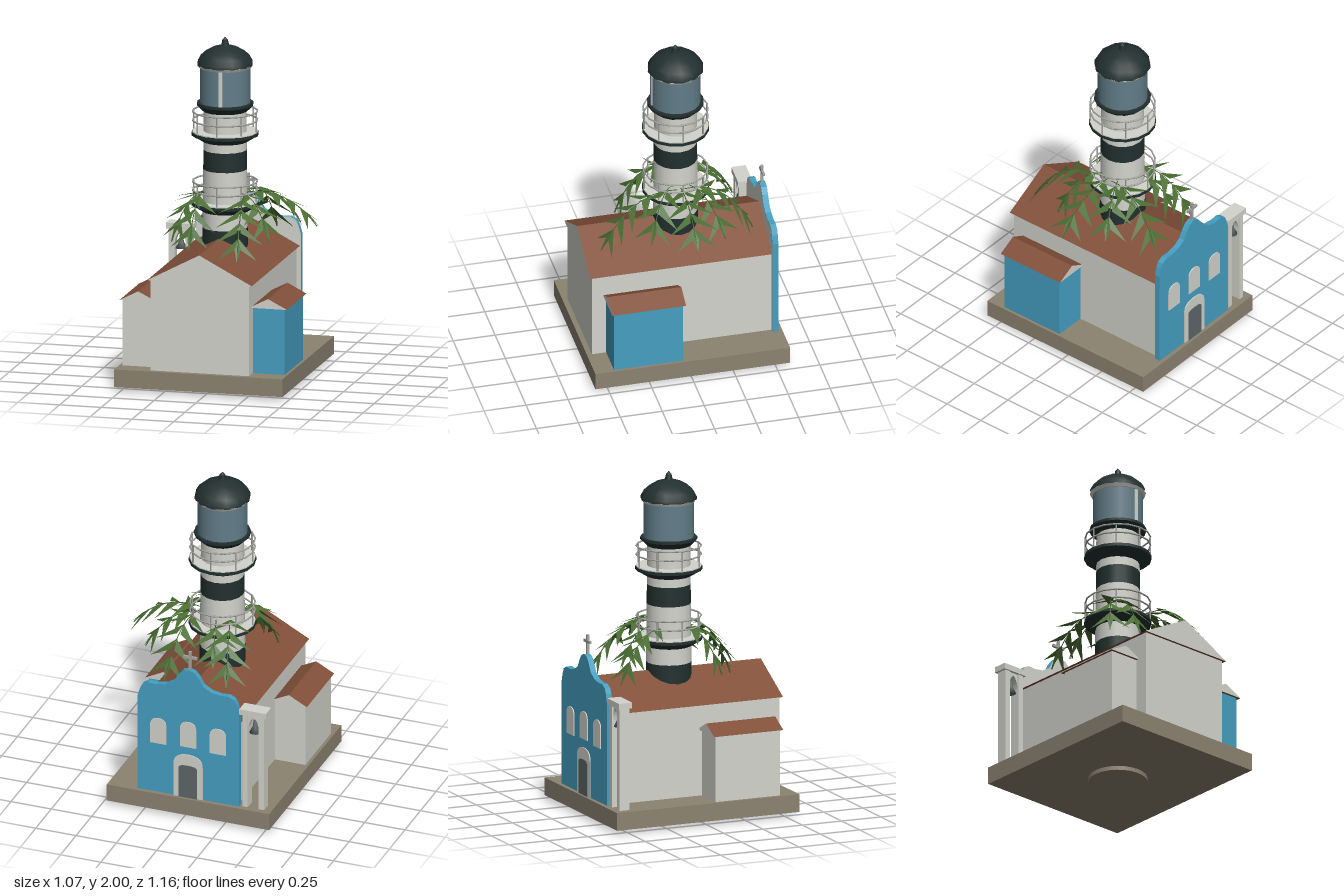
import * as THREE from 'three';

const mat = (name, color, side = THREE.FrontSide) => {
  const m = new THREE.MeshStandardMaterial({ color, side });
  m.name = name;
  return m;
};

export function createModel() {
  const root = new THREE.Group();
  root.name = 'chapelLighthouse';
  const white = mat('whitewash', 0xd4d4ce), blue = mat('blue paint', 0x459fc1);
  const stone = mat('stone', 0x8c8371), tile = mat('roof tile', 0x82503a);
  const dark = mat('dark green black', 0x22302f), glass = mat('lantern glass', 0x627d89);
  const rail = mat('grey metal', 0xa5a5a2), slate = mat('slate grey', 0x5f6769);
  const leaf = mat('leaf green', 0x4a6e33, THREE.DoubleSide);

  const add = (name, geo, m, x = 0, y = 0, z = 0, parent = root) => {
    const mesh = new THREE.Mesh(geo, m);
    mesh.name = name;
    mesh.position.set(x, y, z);
    parent.add(mesh);
    return mesh;
  };
  // Box given by its limits
  const box = (name, m, x0, x1, y0, y1, z0, z1) =>
    add(name, new THREE.BoxGeometry(x1 - x0, y1 - y0, z1 - z0), m, (x0 + x1) / 2, (y0 + y1) / 2, (z0 + z1) / 2);
  const poly = (pts) => new THREE.Shape(pts.map(([x, y]) => new THREE.Vector2(x, y)));
  const extrude = (shape, depth) => new THREE.ExtrudeGeometry(shape, { depth, bevelEnabled: false, curveSegments: 8 });
  // Gabled roof with white ends
  const gable = (name, x0, x1, ridge, y0, y1, z0, z1) =>
    add(name, extrude(poly([[x0, y0], [x1, y0], [ridge, y1]]), z1 - z0), [white, tile], 0, 0, z0);

  // Base
  const TX = -0.03, TZ = -0.02;
  box('baseSlab', stone, -0.535, 0.472, 0.025, 0.13, -0.58, 0.58);
  add('baseFoot', new THREE.CylinderGeometry(0.172, 0.172, 0.03, 24), stone, TX, 0.015, TZ);

  // Chapel and its two annexes
  box('nave', white, -0.325, 0.265, 0.13, 0.668, -0.53, 0.55);
  gable('naveRoof', -0.342, 0.285, -0.03, 0.668, 0.833, -0.52, 0.565);
  box('blueAnnex', blue, 0.25, 0.455, 0.13, 0.52, 0.055, 0.465);
  gable('blueAnnexRoof', 0.245, 0.473, 0.36, 0.52, 0.578, 0.04, 0.48);
  box('whiteAnnex', white, -0.515, -0.3, 0.13, 0.52, 0.055, 0.465);
  gable('whiteAnnexRoof', -0.53, -0.3, -0.418, 0.52, 0.578, 0.04, 0.48);

  // Curved facade at the back
  const half = [[0.314, 0.13], [0.314, 0.74], [0.3, 0.79], [0.285, 0.82], [0.25, 0.838], [0.2, 0.835],
    [0.14, 0.845], [0.09, 0.875], [0.065, 0.92], [0.035, 0.955], [0, 0.965]];
  const outline = [...half, ...half.slice(0, -1).reverse().map(([x, y]) => [-x, y])];
  const facadeShape = poly(outline);
  add('facade', extrude(facadeShape, 0.035), blue, -0.024, 0, -0.555);
  add('facadeInnerFace', new THREE.ShapeGeometry(facadeShape), white, -0.024, 0, -0.519);

  const arched = (w, h, rise) => {
    const s = new THREE.Shape();
    s.moveTo(-w / 2, 0);
    s.lineTo(w / 2, 0);
    s.lineTo(w / 2, h - rise);
    s.quadraticCurveTo(w / 2, h, 0, h);
    s.quadraticCurveTo(-w / 2, h, -w / 2, h - rise);
    return s;
  };
  for (const [dx, y] of [[-0.185, 0.45], [0, 0.46], [0.185, 0.45]])
    add('facadeWindow', extrude(arched(0.1, 0.165, 0.05), 0.006), white, -0.024 + dx, y, -0.561);
  add('doorSurround', extrude(arched(0.18, 0.28, 0.07), 0.006), white, -0.024, 0.13, -0.561);
  add('door', extrude(arched(0.115, 0.21, 0.02), 0.004), slate, -0.024, 0.13, -0.565);

  // Cross
  box('crossPost', rail, -0.037, -0.021, 0.955, 1.08, -0.543, -0.529);
  box('crossArm', rail, -0.071, 0.013, 1.032, 1.048, -0.543, -0.529);

  // Bell tower
  for (const x of [-0.474, -0.372])
    box('bellPillar', white, x - 0.017, x + 0.017, 0.13, 0.74, -0.545, -0.48);
  const arch = new THREE.Shape();
  arch.moveTo(-0.036, 0.63);
  arch.quadraticCurveTo(-0.03, 0.7, 0, 0.72);
  arch.quadraticCurveTo(0.03, 0.7, 0.036, 0.63);
  arch.lineTo(0.036, 0.74);
  arch.lineTo(-0.036, 0.74);
  add('bellArch', extrude(arch, 0.05), white, -0.423, 0, -0.537);
  box('bellCap', white, -0.505, -0.34, 0.735, 0.77, -0.555, -0.47);
  const bell = [[0, 0.7], [0.01, 0.69], [0.016, 0.65], [0.034, 0.615], [0, 0.612]];
  add('bell', new THREE.LatheGeometry(bell.reverse().map(([x, y]) => new THREE.Vector2(x, y)), 12), slate, -0.423, 0, -0.513);

  // Lighthouse tower: stacked frustums
  const tower = new THREE.Group();
  tower.name = 'lighthouse';
  tower.position.set(TX, 0, TZ);
  root.add(tower);
  const ring = (name, m, y0, r0, y1, r1, seg = 16) =>
    add(name, new THREE.CylinderGeometry(r1, r0, y1 - y0, seg), m, 0, (y0 + y1) / 2, 0, tower);
  const bands = [[0.6, 0.136, dark], [0.875, 0.132, white], [0.98, 0.131, dark], [1.03, 0.13, white],
    [1.22, 0.128, dark], [1.335, 0.127, white], [1.57, 0.125, null]];
  for (let i = 0; i < bands.length - 1; i++)
    ring('towerBand', bands[i][2], bands[i][0], bands[i][1], bands[i + 1][0], bands[i + 1][1]);

  // Two galleries with railings
  for (const y of [1.025, 1.44]) {
    ring('galleryCorbel', dark, y - 0.055, 0.132, y - 0.018, 0.192);
    ring('galleryDeck', dark, y - 0.018, 0.196, y, 0.196);
    ring('galleryFloor', white, y, 0.192, y + 0.006, 0.192);
    for (const h of [0.07, 0.122]) {
      const hoop = add('handrail', new THREE.TorusGeometry(0.189, 0.005, 6, 16), rail, 0, y + h, 0, tower);
      hoop.rotation.x = Math.PI / 2;
    }
    for (let i = 0; i < 8; i++) {
      const a = (i * Math.PI) / 4;
      add('railPost', new THREE.CylinderGeometry(0.005, 0.005, 0.122, 6), rail,
        0.187 * Math.sin(a), y + 0.061, 0.187 * Math.cos(a), tower);
    }
  }

  // Lantern room and dome
  ring('lanternCorbel', dark, 1.565, 0.13, 1.6, 0.165);
  ring('lanternSill', dark, 1.6, 0.165, 1.615, 0.165);
  ring('lanternGlass', glass, 1.615, 0.146, 1.83, 0.146, 20);
  add('lanternMullion', new THREE.BoxGeometry(0.022, 0.21, 0.006), white, 0.01, 1.72, 0.146, tower);
  ring('lanternRim', white, 1.822, 0.152, 1.84, 0.163);
  const dome = [[0.165, 1.838], [0.163, 1.855], [0.145, 1.888], [0.115, 1.915], [0.075, 1.938], [0.03, 1.952], [0, 1.955]];
  add('dome', new THREE.LatheGeometry(dome.map(([x, y]) => new THREE.Vector2(x, y)), 12), dark, 0, 0, 0, tower);
  ring('finial', dark, 1.945, 0.025, 1.985, 0.016, 10);
  ring('finialTip', dark, 1.985, 0.014, 2.0, 0.003, 10);

  // Palm fronds: swept leaf pairs along drooping paths, ending in a pointed leaf
  const fronds = [ // tip x, y, z, start x, z
    [0.52, 0.91, -0.02, 0.06, -0.02], [0.17, 0.78, 0.47, 0.1, 0], [0.17, 0.8, -0.43, 0.1, -0.04],
    [0.37, 0.88, -0.22, 0.05, -0.06], [0.29, 0.85, 0.2, 0.05, 0.02], [-0.16, 0.8, 0.31, -0.14, 0.02],
    [-0.2, 0.8, -0.4, -0.1, -0.06], [-0.1, 0.88, -0.35, -0.02, -0.08], [-0.29, 0.82, 0.2, -0.1, 0],
  ];
  for (const [x, y, z, sx, sz] of fronds) {
    const start = new THREE.Vector3(sx, 1.08, sz), end = new THREE.Vector3(x, y, z);
    const mid = new THREE.Vector3(sx + (x - sx) * 0.6, 1.15, sz + (z - sz) * 0.6);
    const path = new THREE.QuadraticBezierCurve3(start, mid, end);
    const len = path.getLength();
    const tri = [];
    const steps = len > 0.4 ? 4 : 2;
    for (let i = 1; i <= steps; i++) {
      const t = 1 - (0.13 + (steps - i) * 0.1) / len;
      if (t < 0.05) continue;
      const o = path.getPointAt(t), f = path.getTangentAt(t);
      const side = new THREE.Vector3(-f.z, 0, f.x).normalize();
      const at = (u, v, drop) => o.clone().addScaledVector(f, u).addScaledVector(side, v).setY(o.y + f.y * u - drop);
      const span = i === steps ? 0.115 : 0.14;
      for (const s of [-1, 1])
        tri.push(at(-0.02, 0, 0), at(0.085, s * span, 0.035), at(0.05, s * 0.012, 0));
      if (i === steps)
        tri.push(at(-0.01, 0, 0), at(0.05, 0.018, 0), at(0.13, 0, 0.01), at(-0.01, 0, 0), at(0.13, 0, 0.01), at(0.05, -0.018, 0));
    }
    const geo = new THREE.BufferGeometry().setFromPoints(tri);
    geo.computeVertexNormals();
    add('palmFrond', geo, leaf);
    add('palmStem', new THREE.TubeGeometry(path, 8, 0.003, 4), leaf);
  }
  return root;
}
